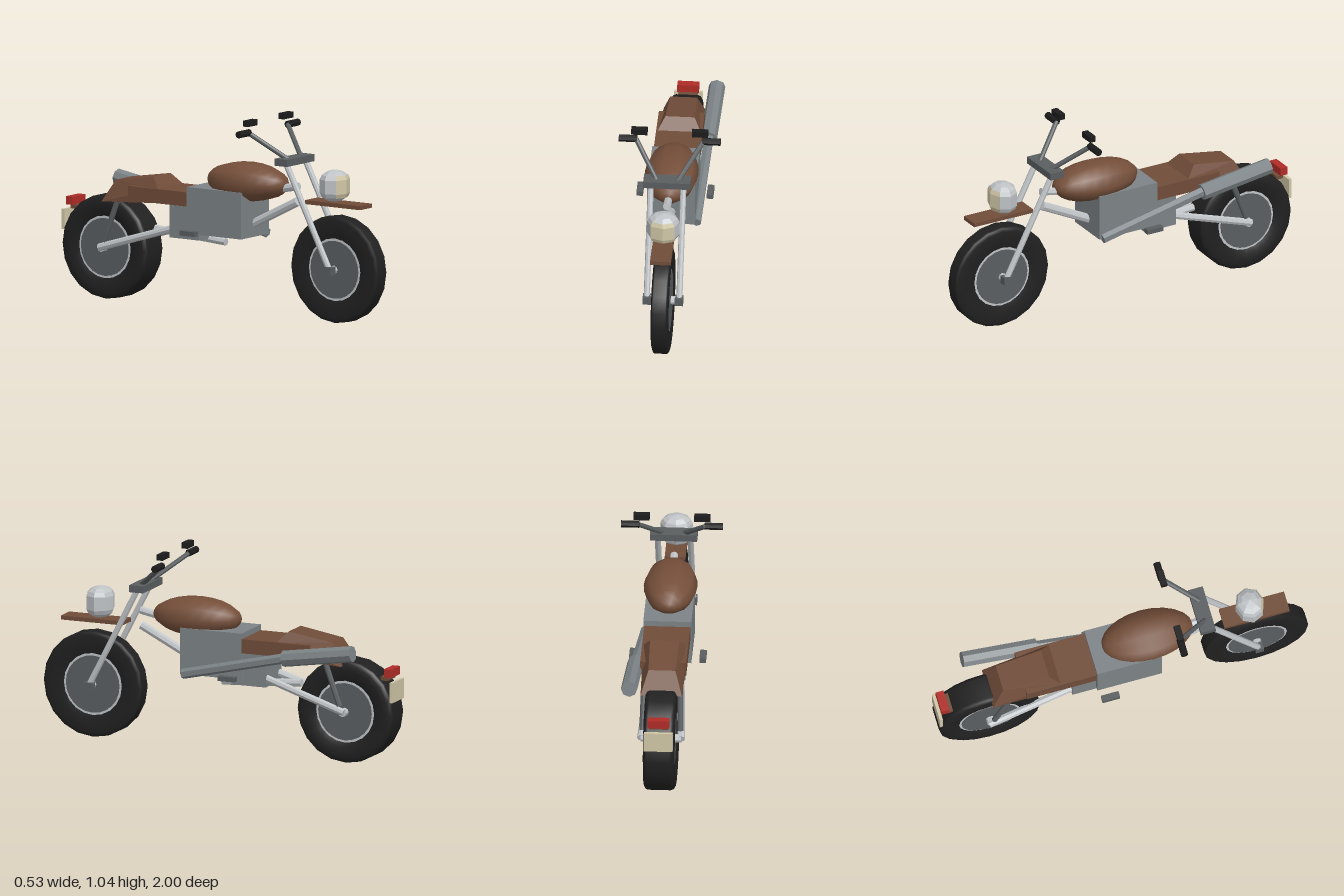
import * as THREE from 'three';
import { ConvexGeometry } from 'three/addons/geometries/ConvexGeometry.js';

const V = (x, y, z) => new THREE.Vector3(x, y, z);

export function createModel() {
  const model = new THREE.Group();
  model.name = 'motorcycle';

  const mat = (name, color, flat = true) => {
    const m = new THREE.MeshStandardMaterial({ color, flatShading: flat });
    m.name = name;
    return m;
  };
  const rubber = mat('tyreRubber', 0x202020, false);
  const black = mat('blackGrip', 0x1c1c1c);
  const brown = mat('brownSeat', 0x704c39);
  const paint = mat('brownPaint', 0x754f3a, false);
  const grey = mat('engineGrey', 0x7c8386);
  const dark = mat('darkMetal', 0x5a5e60);
  const silver = mat('silver', 0xbfc3c6);
  const cream = mat('cream', 0xd0c6a6);
  const red = mat('red', 0xb02c27);

  const add = (name, geometry, material, parent = model) => {
    const mesh = new THREE.Mesh(geometry, material);
    mesh.name = name;
    parent.add(mesh);
    return mesh;
  };
  // Box given by its min and max corners
  const box = (name, a, b, material) => {
    const mesh = add(name, new THREE.BoxGeometry(b[0] - a[0], b[1] - a[1], b[2] - a[2]), material);
    mesh.position.set((a[0] + b[0]) / 2, (a[1] + b[1]) / 2, (a[2] + b[2]) / 2);
    return mesh;
  };
  // Straight tube between two points
  const rod = (name, a, b, r, material, sides = 8) => {
    const p = V(...a), q = V(...b), d = q.clone().sub(p);
    const mesh = add(name, new THREE.CylinderGeometry(r, r, d.length(), sides), material);
    mesh.position.copy(p).add(q).multiplyScalar(0.5);
    mesh.quaternion.setFromUnitVectors(V(0, 1, 0), d.normalize());
    return mesh;
  };

  // Wheels
  const wheel = (name, z, y, r, w) => {
    const g = new THREE.Group();
    g.name = name;
    const half = [[0.163, 0.8], [0.19, 0.95], [0.225, 1], [r - 0.022, 0.98], [r - 0.005, 0.86], [r, 0.7]];
    const pts = [
      ...half.map(([pr, k]) => new THREE.Vector2(pr, -w * k)),
      ...half.slice().reverse().map(([pr, k]) => new THREE.Vector2(pr, w * k)),
    ];
    add('tyre', new THREE.LatheGeometry(pts, 20), rubber, g);
    add('rim', new THREE.CylinderGeometry(0.168, 0.168, w * 1.62, 24), silver, g);
    add('wheelDisc', new THREE.CylinderGeometry(0.152, 0.152, w * 1.62 + 0.008, 24), dark, g);
    add('hub', new THREE.CylinderGeometry(0.022, 0.022, w * 2 + 0.045, 8), silver, g);
    g.rotation.z = Math.PI / 2;
    g.position.set(0, y, z);
    model.add(g);
  };
  wheel('frontWheel', 0.722, 0.285, 0.281, 0.046);
  wheel('rearWheel', -0.727, 0.275, 0.273, 0.083);

  // Mirrored parts
  for (const s of [-1, 1]) {
    const side = s > 0 ? 'left' : 'right';
    const mbox = (name, x0, x1, y0, y1, z0, z1, m) =>
      box(side + name, [Math.min(s * x0, s * x1), y0, z0], [Math.max(s * x0, s * x1), y1, z1], m);
    rod(side + 'ForkTube', [s * 0.085, 0.28, 0.727], [s * 0.085, 0.825, 0.445], 0.016, silver);
    mbox('ForkFoot', 0.062, 0.105, 0.264, 0.306, 0.7, 0.744, dark);
    rod(side + 'Handlebar', [s * 0.055, 0.84, 0.44], [s * 0.175, 0.98, 0.27], 0.013, dark);
    rod(side + 'Grip', [s * 0.17, 0.981, 0.27], [s * 0.265, 0.981, 0.27], 0.019, black);
    mbox('Mirror', 0.116, 0.2, 1.015, 1.046, 0.252, 0.286, black);
    mbox('Footpeg', 0.166, 0.2, 0.405, 0.43, -0.155, -0.06, dark);
    rod(side + 'SwingArm', [s * 0.075, 0.425, -0.25], [s * 0.105, 0.277, -0.737], 0.02, silver);
    rod(side + 'Shock', [s * 0.095, 0.55, -0.62], [s * 0.1, 0.31, -0.71], 0.015, dark);
  }
  box('handlebarClamp', [-0.123, 0.813, 0.398], [0.123, 0.85, 0.478], dark);

  // Frame tubes
  rod('upperFrameTube', [0, 0.695, 0.465], [0, 0.64, 0.18], 0.021, silver);
  rod('lowerFrameTube', [0, 0.615, 0.46], [0, 0.46, 0.15], 0.024, silver);
  rod('rearFrameTube', [0, 0.36, 0], [0, 0.39, -0.45], 0.02, silver);

  // Headlight: eight-sided housing with a two-facet lens over its front
  const lathe = (pts, ...args) => new THREE.LatheGeometry(pts.map((p) => new THREE.Vector2(...p)), ...args);
  const housing = add('headlightHousing', lathe(
    [[0, -0.086], [0.048, -0.075], [0.074, -0.058], [0.085, -0.036], [0.085, 0.036], [0.074, 0.058], [0.048, 0.075], [0, 0.086]], 8), silver);
  const lens = add('headlightLens', lathe(
    [[0.077, -0.059], [0.088, -0.037], [0.088, 0.037], [0.077, 0.059]], 2, -Math.PI / 4, Math.PI / 2), cream);
  for (const m of [housing, lens]) {
    m.position.set(0, 0.72, 0.695);
    m.scale.z = 0.87;
  }
  box('frontFender', [-0.054, 0.616, 0.545], [0.054, 0.637, 0.897], brown);

  // Fuel tank
  const tank = add('fuelTank', new THREE.SphereGeometry(1, 10, 12), paint);
  tank.geometry.rotateX(Math.PI / 2);
  tank.scale.set(0.14, 0.103, 0.244);
  tank.position.set(0, 0.692, 0.142);

  // Engine
  box('engineBlock', [-0.125, 0.405, -0.162], [0.125, 0.65, 0.186], grey);
  box('gearbox', [-0.1, 0.37, -0.29], [0.1, 0.54, -0.1], grey);

  // Seat
  box('seatBase', [-0.12, 0.545, -0.54], [0.12, 0.62, -0.16], brown);
  const hull = [
    [0.115, 0.545, -0.36], [0.112, 0.62, -0.357], [0.076, 0.675, -0.41],
    [0.07, 0.636, -0.655], [0.108, 0.52, -0.72],
  ].flatMap(([x, y, z]) => [V(x, y, z), V(-x, y, z)]);
  add('rearSeat', new ConvexGeometry(hull), brown);

  // Exhaust on the left side
  rod('exhaustPipe', [0.13, 0.408, 0.17], [0.15, 0.55, -0.43], 0.027, grey, 6);
  rod('muffler', [0.15, 0.545, -0.415], [0.162, 0.608, -0.812], 0.043, grey, 8);

  // Tail
  box('tailBracket', [-0.05, 0.455, -0.96], [0.05, 0.476, -0.92], brown);
  box('tailLight', [-0.056, 0.474, -0.984], [0.056, 0.517, -0.942], red);
  box('numberPlate', [-0.075, 0.345, -0.999], [0.075, 0.452, -0.982], cream);

  return model;
}
